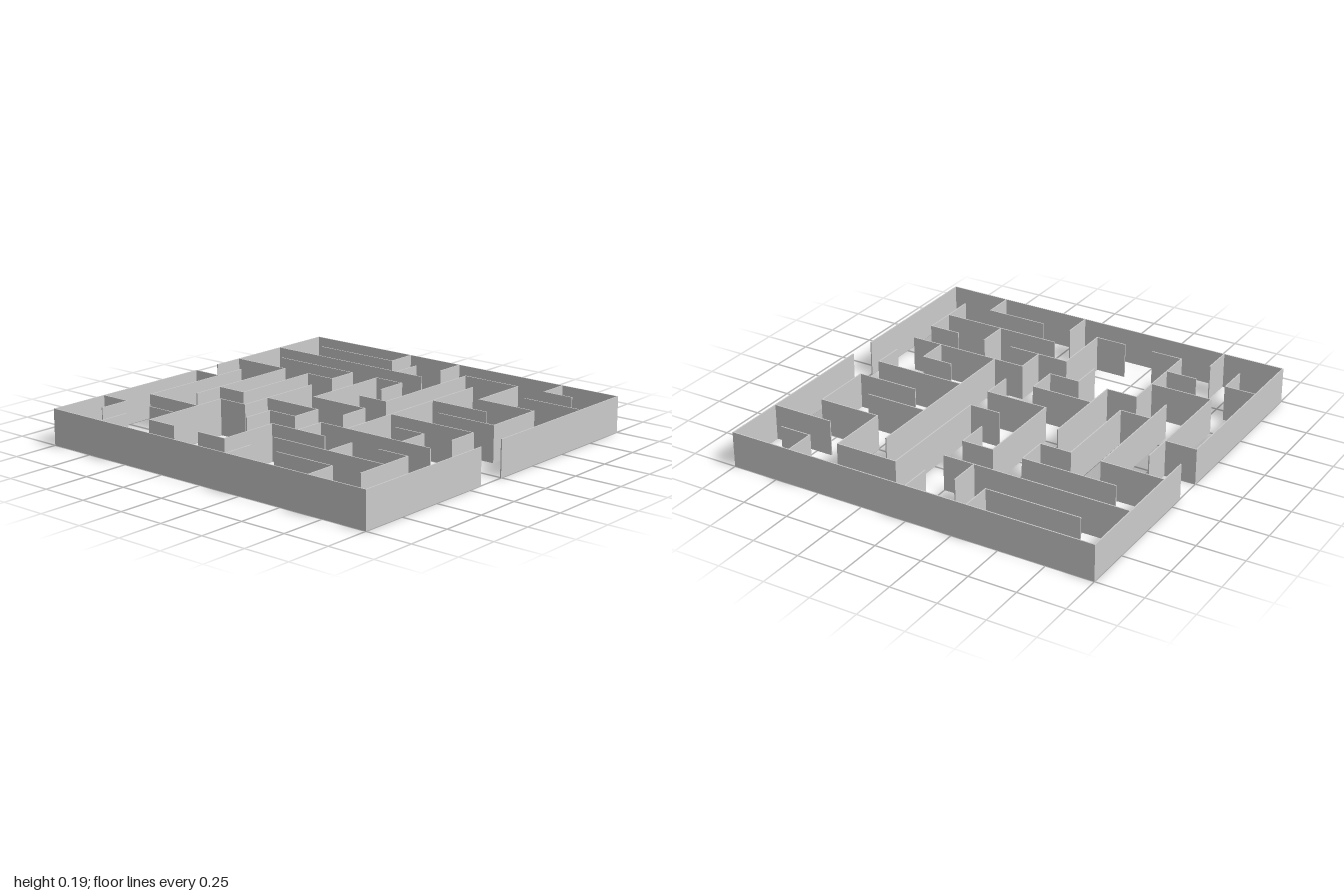
import * as THREE from 'three';

const CELLS = 12;
const HEIGHT = 0.19;
const THICK = 0.006;
const STEP = (2 - THICK) / CELLS;

// Walls running along x: one list per grid row (back to front), as [from, to] columns
const ROWS = [
  [[0, 6], [7, 12]],
  [[1, 2], [3, 7]],
  [[0, 1], [4, 8]],
  [[1, 4], [5, 8]],
  [[4, 7], [8, 9], [11, 12]],
  [[3, 4], [6, 9], [10, 11]],
  [[1, 3], [4, 5], [8, 9], [11, 12]],
  [[0, 1], [3, 4], [5, 6], [7, 11]],
  [[4, 10]],
  [[2, 3], [9, 11]],
  [[0, 1], [4, 5], [11, 12]],
  [[1, 3], [5, 6], [7, 9]],
  [[0, 5], [6, 12]],
];

// Walls running along z: one list per grid column (-x to +x), as [from, to] rows
const COLUMNS = [
  [[0, 12]],
  [[3, 4], [5, 6], [8, 10]],
  [[0, 1], [2, 3], [7, 11]],
  [[1, 3], [6, 8], [10, 11]],
  [[3, 4], [5, 6], [7, 11]],
  [[2, 3], [4, 6], [9, 10]],
  [[0, 1], [5, 7], [8, 11]],
  [[6, 7], [9, 11]],
  [[0, 2], [3, 4], [8, 10]],
  [[1, 4], [5, 6], [9, 11]],
  [[0, 6], [10, 12]],
  [[1, 4], [7, 9], [10, 11]],
  [[0, 12]],
];

const gridToWorld = (i) => (i - CELLS / 2) * STEP;

export function createModel() {
  const maze = new THREE.Group();
  maze.name = 'maze';
  const material = new THREE.MeshStandardMaterial({ color: 0xcccccc, flatShading: true });

  // One thin upright slab along a grid line
  function addWall(line, [from, to], alongX) {
    const length = (to - from) * STEP + THICK;
    const middle = gridToWorld((from + to) / 2);
    const across = gridToWorld(line);
    const wall = new THREE.Mesh(
      new THREE.BoxGeometry(alongX ? length : THICK, HEIGHT, alongX ? THICK : length),
      material
    );
    wall.position.set(alongX ? middle : across, HEIGHT / 2, alongX ? across : middle);
    wall.name = line === 0 || line === CELLS ? 'outerWall' : 'innerWall';
    maze.add(wall);
  }

  ROWS.forEach((spans, row) => spans.forEach((span) => addWall(row, span, true)));
  COLUMNS.forEach((spans, column) => spans.forEach((span) => addWall(column, span, false)));

  return maze;
}
